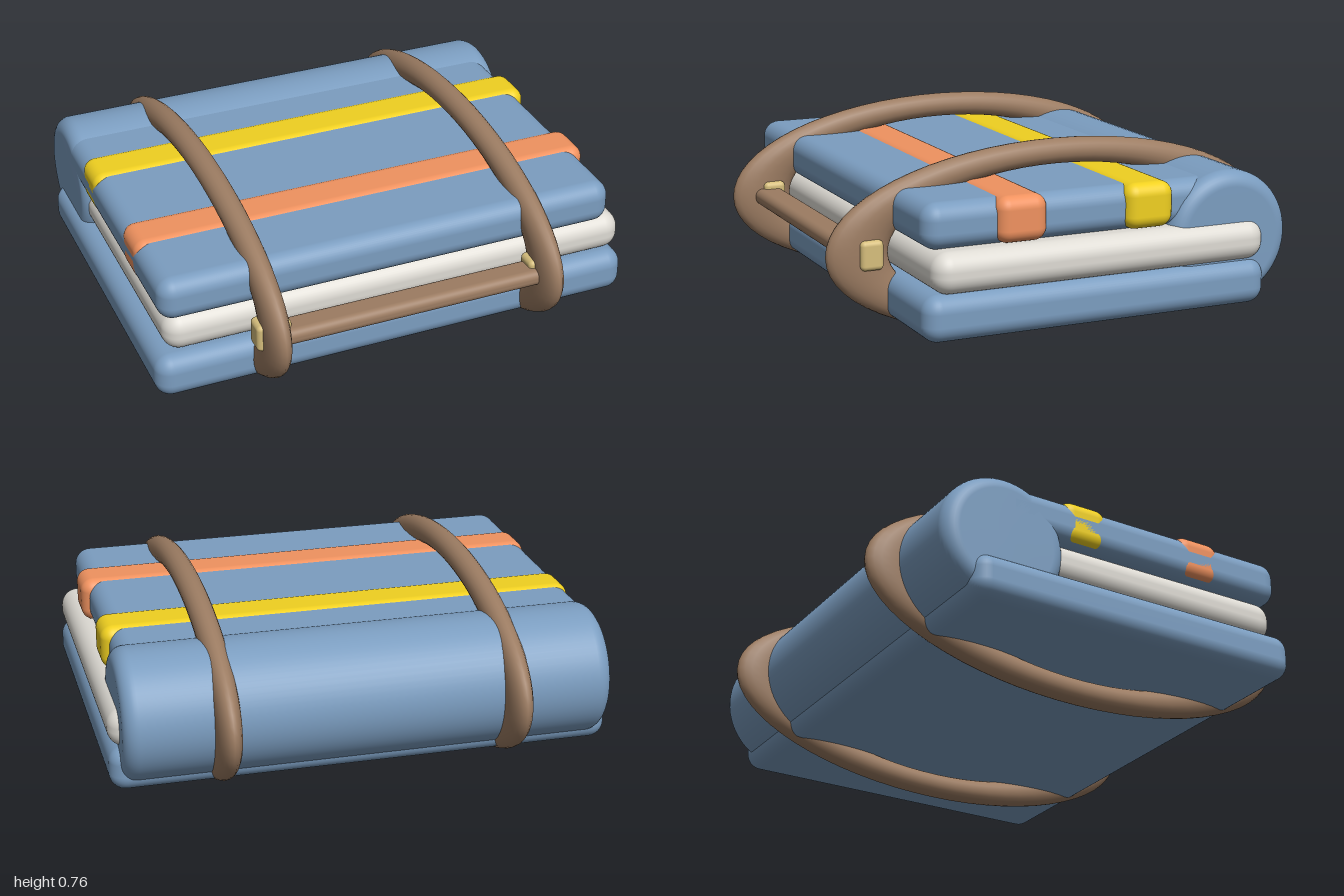
import * as THREE from 'three';
import { RoundedBoxGeometry } from 'three/addons/geometries/RoundedBoxGeometry.js';

const material = (color) => new THREE.MeshStandardMaterial({ color });

export function createModel() {
  const model = new THREE.Group();
  const blue = material(0x7b9dc0);
  const cream = material(0xdedbd4);
  const orange = material(0xf0925f);
  const yellow = material(0xf0d020);
  const leather = material(0x9c7c62);
  const brass = material(0xd6be7c);

  const add = (name, geometry, mat) => {
    const mesh = new THREE.Mesh(geometry, mat);
    mesh.name = name;
    model.add(mesh);
    return mesh;
  };

  // Rounded block given by its extents on each axis
  const pad = (name, mat, [x0, x1], [y0, y1], [z0, z1], radius) => {
    const mesh = add(name, new RoundedBoxGeometry(x1 - x0, y1 - y0, z1 - z0, 5, radius), mat);
    mesh.position.set((x0 + x1) / 2, (y0 + y1) / 2, (z0 + z1) / 2);
    return mesh;
  };

  // Folded blanket layers
  pad('bottomLayer', blue, [-1, 1], [0.125, 0.305], [-0.715, 0.72], 0.065);
  pad('middleLayer', cream, [-0.95, 1], [0.3, 0.46], [-0.71, 0.68], 0.07);
  pad('topLayer', blue, [-0.97, 0.93], [0.455, 0.632], [-0.6, 0.695], 0.065);

  // Coloured stripes wrapped around the top layer
  pad('orangeStripe', orange, [-0.97, 0.96], [0.462, 0.64], [0.208, 0.413], 0.05);
  pad('yellowStripe', yellow, [-0.97, 0.96], [0.462, 0.64], [-0.322, -0.117], 0.05);

  // Rolled fold along the back, with soft ends
  const rollRadius = 0.26, halfLength = 0.965, bevel = 0.06;
  const profile = [new THREE.Vector2(0, -halfLength)];
  for (const side of [-1, 1]) {
    for (let i = 0; i <= 8; i++) {
      const a = (side < 0 ? i - 8 : i) / 8 * Math.PI / 2;
      profile.push(new THREE.Vector2(
        rollRadius - bevel + bevel * Math.cos(a),
        side * (halfLength - bevel) + bevel * Math.sin(a)));
    }
  }
  profile.push(new THREE.Vector2(0, halfLength));
  const roll = add('backRoll', new THREE.LatheGeometry(profile, 64), blue);
  roll.rotation.z = Math.PI / 2;
  roll.position.set(-0.005, 0.395, -0.57);

  // Oval straps, each with a buckle at the front
  for (const [side, x] of [['right', -0.57], ['left', 0.57]]) {
    const geometry = new THREE.TorusGeometry(0.33, 0.05, 20, 64);
    geometry.rotateY(Math.PI / 2);
    geometry.scale(1, 1, 2.5);
    add(side + 'Strap', geometry, leather).position.set(x, 0.385, 0);
    pad(side + 'Buckle', brass, [x - 0.07, x + 0.07], [0.332, 0.448], [0.738, 0.83], 0.02);
  }

  // Carrying handle between the straps
  pad('handle', leather, [-0.57, 0.57], [0.352, 0.42], [0.745, 0.865], 0.03);

  return model;
}
